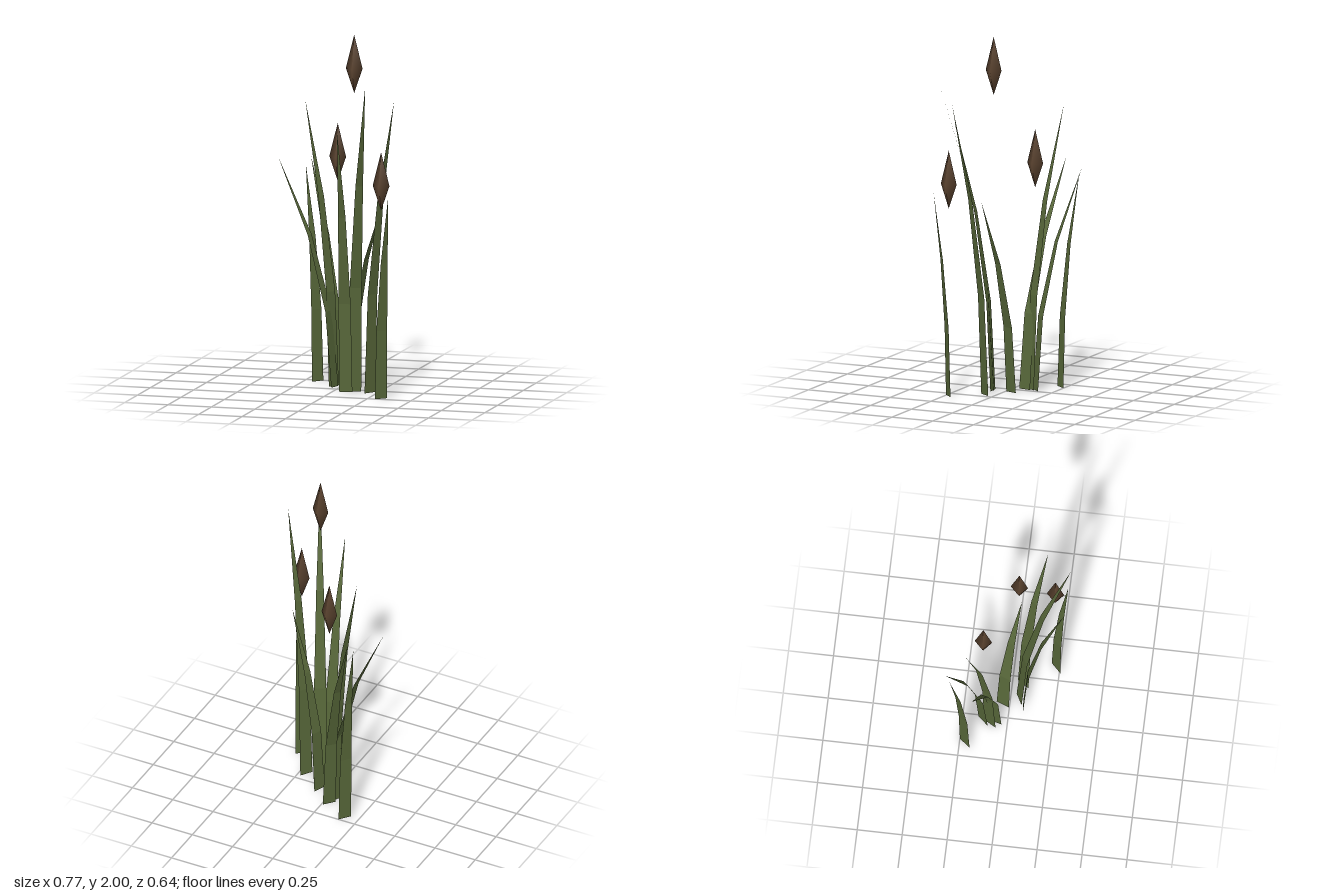
import * as THREE from 'three';

const green = new THREE.MeshStandardMaterial({ color: 0x58683a, side: THREE.DoubleSide });
green.name = 'reed green';
const brown = new THREE.MeshStandardMaterial({ color: 0x5c4430 });
brown.name = 'seed head brown';

// Flat leaf in three faceted segments, bending quadratically from base to tip
function leafGeometry(bx, bz, tx, height, tz, width = 0.076) {
  const dx = tx - bx, dz = tz - bz, length = Math.hypot(dx, dz);
  const sx = -dz / length, sz = dx / length; // width direction, across the bend
  const segments = 3, positions = [], index = [];
  for (let i = 0; i <= segments; i++) {
    const t = i / segments, bend = t * t;
    const half = (width / 2) * (1 - t * t);
    const x = bx + dx * bend, z = bz + dz * bend;
    positions.push(x - sx * half, height * t, z - sz * half);
    positions.push(x + sx * half, height * t, z + sz * half);
    if (i < segments) {
      const a = i * 2;
      index.push(a, a + 1, a + 2);
      if (i < segments - 1) index.push(a + 1, a + 3, a + 2);
    }
  }
  const geometry = new THREE.BufferGeometry();
  geometry.setAttribute('position', new THREE.Float32BufferAttribute(positions, 3));
  geometry.setIndex(index);
  const faceted = geometry.toNonIndexed();
  faceted.computeVertexNormals();
  return faceted;
}

// base x, base z, tip x, tip height, tip z
const leaves = [
  [0.076, -0.038, 0.287, 1.10, 0.043],
  [0.073, 0.075, 0.09, 1.49, 0.30],
  [0.116, 0.048, 0.258, 1.76, 0.32],
  [0.208, 0.06, 0.382, 1.66, 0.178],
  [0.322, 0.229, 0.382, 1.15, 0.29],
  [-0.045, -0.095, -0.243, 1.575, -0.208],
  [-0.034, -0.134, -0.243, 1.24, -0.322],
  [-0.175, -0.22, -0.265, 1.20, -0.293],
  [-0.032, -0.069, -0.385, 1.26, -0.157],
];

// x, height of the widest ring, z
const heads = [
  [0.115, 1.812, 0.05],
  [-0.034, 1.28, -0.133],
  [0.322, 1.193, 0.226],
];

export function createModel() {
  const model = new THREE.Group();
  model.name = 'reedClump';

  // Leaves
  leaves.forEach((leaf, i) => {
    const mesh = new THREE.Mesh(leafGeometry(...leaf), green);
    mesh.name = `leaf${i + 1}`;
    model.add(mesh);
  });

  // Four-sided spindle seed heads, smooth shaded
  const profile = [[0, -0.138], [0.048, 0], [0, 0.188]].map(([r, y]) => new THREE.Vector2(r, y));
  const headGeometry = new THREE.LatheGeometry(profile, 4);
  heads.forEach((position, i) => {
    const mesh = new THREE.Mesh(headGeometry, brown);
    mesh.name = `seedHead${i + 1}`;
    mesh.position.set(...position);
    model.add(mesh);
  });

  return model;
}
